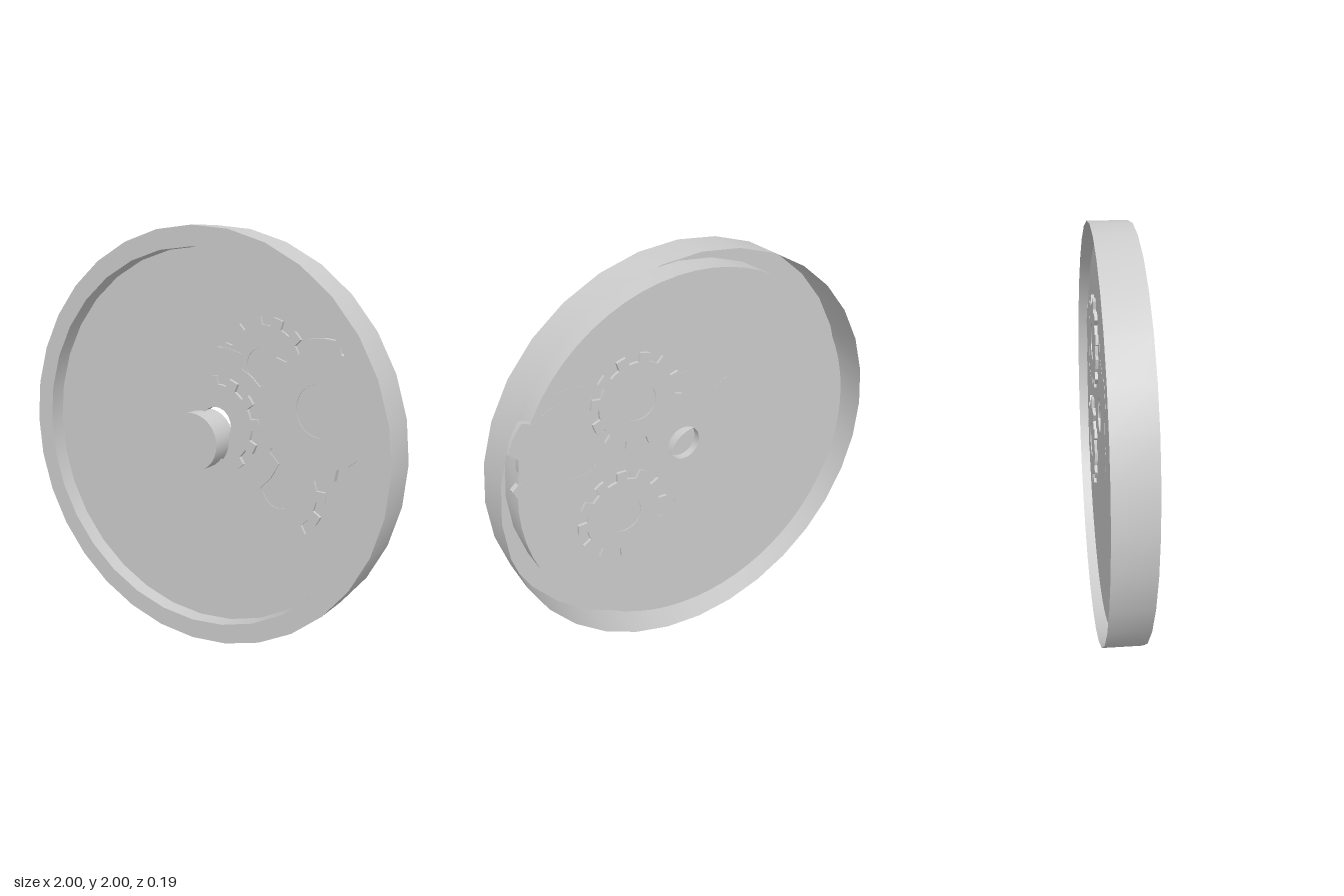
import * as THREE from 'three';
import { toCreasedNormals } from 'three/addons/utils/BufferGeometryUtils.js';

const SIDES = 32;

export function createModel() {
  const group = new THREE.Group();
  const wheel = new THREE.Group();
  wheel.name = 'gearWheel';
  wheel.position.y = 1;
  group.add(wheel);
  const solid = new THREE.MeshStandardMaterial({ color: 0xcccccc });
  const sheet = new THREE.MeshStandardMaterial({ color: 0xcccccc, side: THREE.DoubleSide });

  const add = (name, geometry, material, x = 0, y = 0, z = 0) => {
    const mesh = new THREE.Mesh(geometry, material);
    mesh.name = name;
    mesh.position.set(x, y, z);
    wheel.add(mesh);
    return mesh;
  };

  // Surface of revolution about the z axis, from [radius, z] pairs
  const turned = (profile, sides = SIDES) => {
    const geo = new THREE.LatheGeometry(profile.map(([r, z]) => new THREE.Vector2(r, z)), sides);
    geo.rotateX(Math.PI / 2);
    return toCreasedNormals(geo, 0.5);
  };

  const circlePath = (x, y, r) => new THREE.Path().absarc(x, y, r, 0, Math.PI * 2, true);

  // Toothed ring: each tooth narrows from its root to its tip
  const gearGeometry = (teeth, root, outer, hole, depth, phase, rootHalf, tipHalf) => {
    const shape = new THREE.Shape();
    const pitch = (Math.PI * 2) / teeth;
    const pts = [];
    for (let i = 0; i < teeth; i++) {
      const a = phase + i * pitch;
      const corners = [
        [-rootHalf, root], [-tipHalf, outer], [0, outer], [tipHalf, outer],
        [rootHalf, root], [0.5, root],
      ];
      for (const [f, r] of corners) {
        pts.push(new THREE.Vector2(Math.cos(a + f * pitch) * r, Math.sin(a + f * pitch) * r));
      }
    }
    shape.setFromPoints(pts);
    shape.holes.push(circlePath(0, 0, hole));
    const geo = new THREE.ExtrudeGeometry(shape, { depth, bevelEnabled: false, curveSegments: 12 });
    return toCreasedNormals(geo, 0.5);
  };

  // Rim: outer wall, front flange and inner wall, open at the back
  add('rim', turned([[1, -0.095], [1, 0.095], [0.905, 0.095], [0.905, -0.05]]), sheet);

  // Back plate with an off-centre hole
  const plate = new THREE.Shape();
  plate.absarc(0, 0, 0.905, 0, Math.PI * 2, false);
  plate.holes.push(circlePath(0.065, 0.075, 0.085));
  add('backPlate', new THREE.ShapeGeometry(plate, SIDES), sheet, 0, 0, -0.05);

  // Front plate with a sector left open over the gears
  const step = (Math.PI * 2) / SIDES;
  add('frontPlate', new THREE.CircleGeometry(0.905, 22, step * 7, step * 22), sheet, 0, 0, 0.015);

  // Central knob, hollow at the back
  add('knob', turned([[0.14, -0.05], [0.14, 0.095], [0, 0.095]]), sheet);

  // Gears
  const gears = [
    { name: 'upperGear', x: 0.31, y: 0.37, z: -0.065, depth: 0.03, teeth: 12, root: 0.19, outer: 0.23, hole: 0.09, phase: 0.2 },
    { name: 'lowerGear', x: 0.405, y: -0.2, z: -0.065, depth: 0.03, teeth: 12, root: 0.19, outer: 0.235, hole: 0.09, phase: 0 },
    { name: 'centreGear', x: 0.065, y: 0.075, z: -0.05, depth: 0.038, teeth: 12, root: 0.195, outer: 0.235, hole: 0.085, phase: 0.1, open: true },
    { name: 'centreWideGear', x: 0.065, y: 0.075, z: -0.051, depth: 0.021, teeth: 6, root: 0.305, outer: 0.37, hole: 0.085, phase: 0.4, wide: true, open: true },
    { name: 'largeGear', x: 0.615, y: 0.2, z: -0.051, depth: 0.03, teeth: 6, root: 0.27, outer: 0.32, hole: 0.125, phase: Math.PI / 6, wide: true },
  ];
  for (const g of gears) {
    const [rootHalf, tipHalf] = g.wide ? [0.3, 0.22] : [0.26, 0.2];
    add(g.name, gearGeometry(g.teeth, g.root, g.outer, g.hole, g.depth, g.phase, rootHalf, tipHalf), solid, g.x, g.y, g.z);
    if (g.open) continue;
    // Hub set slightly below the gear faces
    const hub = turned([[0, 0.004], [g.hole, 0.004], [g.hole, g.depth - 0.004], [0, g.depth - 0.004]], 24);
    add(g.name + 'Hub', hub, solid, g.x, g.y, g.z);
  }
  return group;
}
